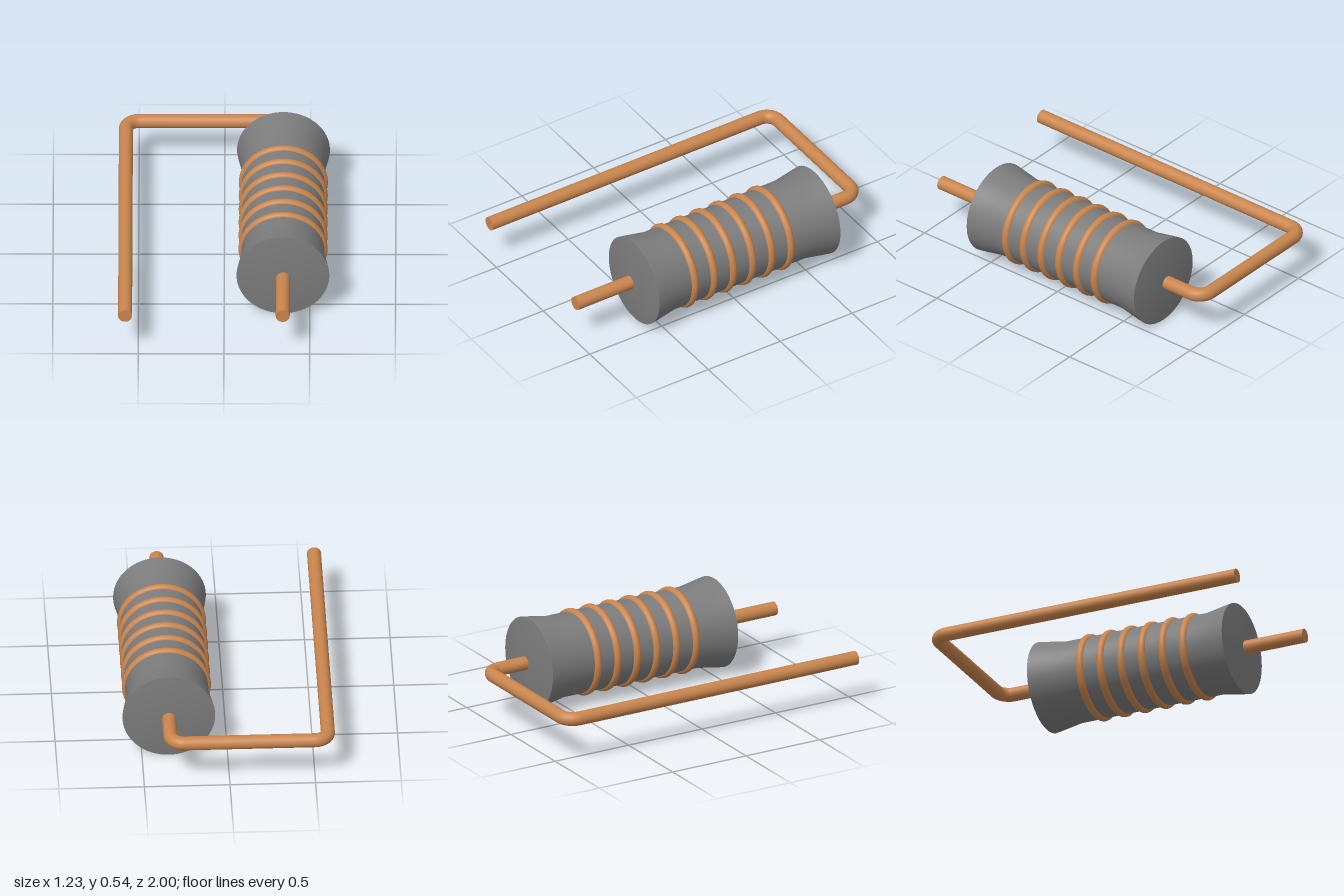
import * as THREE from 'three';
import { toCreasedNormals } from 'three/addons/utils/BufferGeometryUtils.js';

const AXIS_X = 0.343, AXIS_Y = 0.272, BODY_Z = -0.04;
const RETURN_X = -0.577, BACK_Z = -0.959, WIRE_R = 0.041, BEND_R = 0.08;

export function createModel() {
  const group = new THREE.Group();
  const grey = new THREE.MeshStandardMaterial({ color: 0x7c7c7c });
  const copper = new THREE.MeshStandardMaterial({ color: 0xc9854d });

  const add = (name, geometry, material, x, z) => {
    const mesh = new THREE.Mesh(geometry, material);
    mesh.name = name;
    mesh.position.set(x, AXIS_Y, z);
    group.add(mesh);
    return mesh;
  };

  // Ceramic body: waisted cylinder with flared ends and shallow conical caps
  const half = [[0.243, 0.46], [0.265, 0.588], [0.271, 0.63], [0, 0.663]];
  const profile = [
    ...half.map(([r, z]) => new THREE.Vector2(r, -z)).reverse(),
    ...half.map(([r, z]) => new THREE.Vector2(r, z)),
  ];
  const body = new THREE.LatheGeometry(profile, 64).rotateX(Math.PI / 2);
  add('body', toCreasedNormals(body, 0.6), grey, AXIS_X, BODY_Z);

  // Six winding rings, evenly spaced along the body
  const ring = new THREE.TorusGeometry(0.235, 0.025, 16, 64);
  for (let i = 0; i < 6; i++) {
    add('windingRing' + (i + 1), ring, copper, AXIS_X, -0.345 + i * 0.1335);
  }

  // Straight wire pieces running along z
  const wireZ = (name, x, z0, z1) => add(
    name,
    new THREE.CylinderGeometry(WIRE_R, WIRE_R, z1 - z0, 32).rotateX(Math.PI / 2),
    copper, x, (z0 + z1) / 2);
  const bendZ = BACK_Z + BEND_R;
  wireZ('frontLead', AXIS_X, 0.55, 1);
  wireZ('rearLead', AXIS_X, bendZ, -0.63);
  wireZ('returnLead', RETURN_X, bendZ, 1);

  // Cross wire behind the body
  const x0 = RETURN_X + BEND_R, x1 = AXIS_X - BEND_R;
  add('crossWire',
    new THREE.CylinderGeometry(WIRE_R, WIRE_R, x1 - x0, 32).rotateZ(Math.PI / 2),
    copper, (x0 + x1) / 2, BACK_Z);

  // Quarter bends joining the cross wire to the leads
  const bend = () => new THREE.TorusGeometry(BEND_R, WIRE_R, 32, 12, Math.PI / 2)
    .rotateX(-Math.PI / 2);
  add('leftBend', bend(), copper, x1, bendZ);
  add('rightBend', bend().rotateY(Math.PI / 2), copper, x0, bendZ);

  return group;
}
